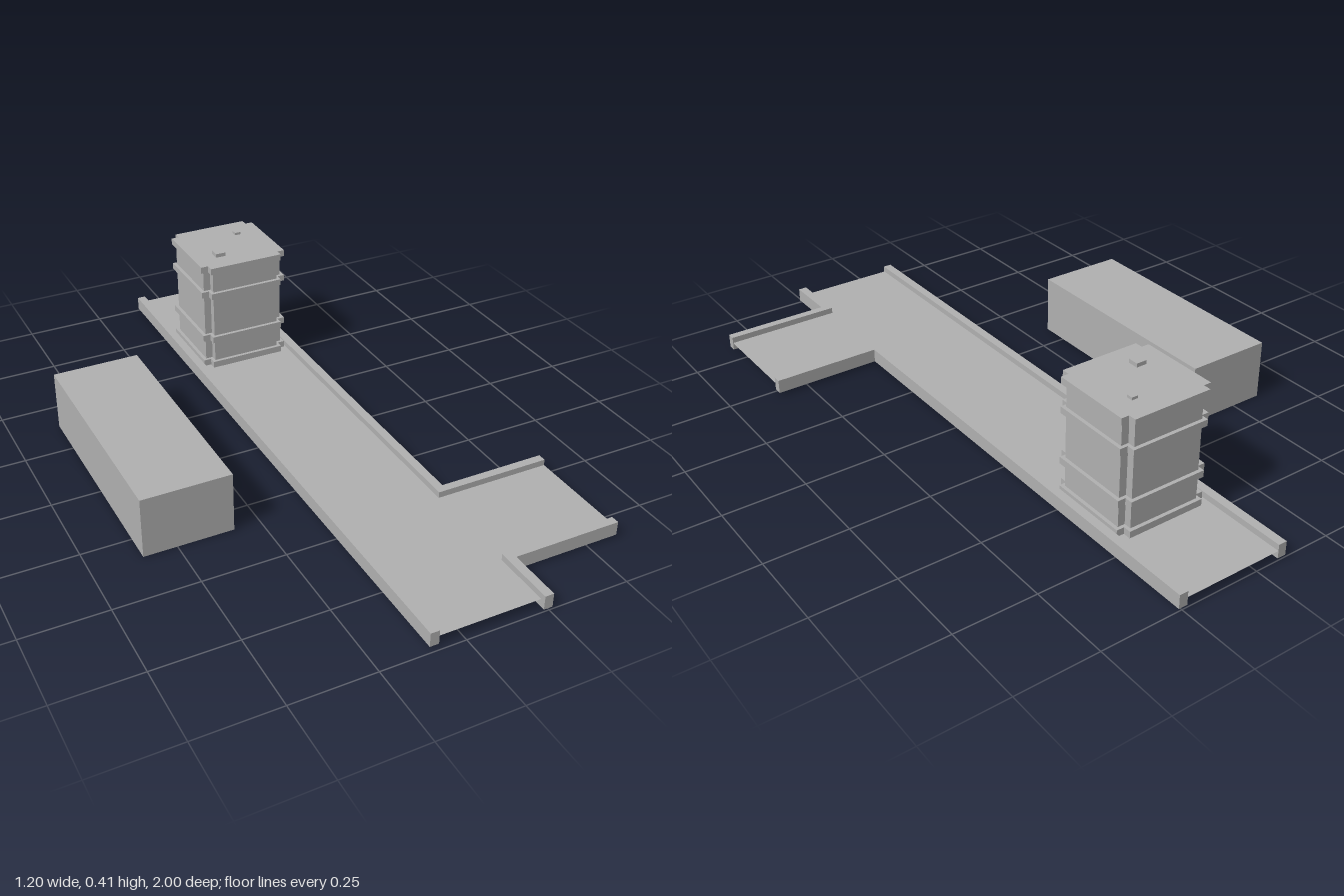
import * as THREE from 'three';

export function createModel() {
  const model = new THREE.Group();
  const grey = new THREE.MeshStandardMaterial({ color: 0xb0b0b0 });
  grey.name = 'grey';
  const sheetGrey = grey; // one colour throughout
  sheetGrey.side = THREE.DoubleSide;

  const add = (parent, name, geometry) => {
    const mesh = new THREE.Mesh(geometry, grey);
    mesh.name = name;
    parent.add(mesh);
    return mesh;
  };
  // Box given by its limits on each axis
  const box = (parent, name, [x0, x1], [y0, y1], [z0, z1]) =>
    add(parent, name, new THREE.BoxGeometry(x1 - x0, y1 - y0, z1 - z0))
      .position.set((x0 + x1) / 2, (y0 + y1) / 2, (z0 + z1) / 2);

  // Free-standing block
  box(model, 'block', [-0.6, -0.33], [0, 0.187], [-0.387, 0.336]);

  // Thin walkway floor with a side branch
  const walkway = new THREE.Group();
  walkway.name = 'walkway';
  model.add(walkway);
  const outline = [
    [-0.09, -1], [0.245, -1], [0.245, 0.485], [0.597, 0.485],
    [0.597, 0.82], [0.245, 0.82], [0.245, 0.985], [-0.09, 0.985],
  ].map(([x, z]) => new THREE.Vector2(x, -z));
  const floor = add(walkway, 'floor', new THREE.ShapeGeometry(new THREE.Shape(outline)));
  floor.rotation.x = -Math.PI / 2;
  floor.position.y = 0.031;

  // Kerbs along the walkway edges
  const kerbY = [0.007, 0.05];
  box(walkway, 'leftKerb', [-0.1, -0.073], kerbY, [-1, 0.987]);
  box(walkway, 'longKerb', [0.233, 0.26], kerbY, [-1, 0.499]);
  box(walkway, 'branchBackKerb', [0.26, 0.597], kerbY, [0.473, 0.499]);
  box(walkway, 'branchFrontKerb', [0.233, 0.597], kerbY, [0.809, 0.835]);
  box(walkway, 'shortKerb', [0.233, 0.26], kerbY, [0.835, 1]);

  // Drum with stepped corners
  const drum = new THREE.Group();
  drum.name = 'drum';
  drum.position.set(0.08, 0, -0.596);
  model.add(drum);

  const steppedPrism = (name, a, b, c, y0, y1) => {
    const corner = [[a, c], [b, c], [b, b], [c, b], [c, a]];
    const points = [];
    for (let q = 0; q < 4; q++) {
      const t = (q * Math.PI) / 2;
      // each quadrant runs counter-clockwise from its first side
      for (const [y, x] of corner) {
        points.push(new THREE.Vector2(
          x * Math.cos(t) - y * Math.sin(t),
          x * Math.sin(t) + y * Math.cos(t)));
      }
    }
    const geometry = new THREE.ExtrudeGeometry(new THREE.Shape(points),
      { depth: y1 - y0, bevelEnabled: false });
    geometry.rotateX(-Math.PI / 2);
    geometry.translate(0, y0, 0);
    add(drum, name, geometry);
  };

  steppedPrism('drumBody', 0.09, 0.113, 0.136, 0.034, 0.39);
  for (const [y0, y1] of [[0.033, 0.054], [0.125, 0.146], [0.284, 0.304], [0.373, 0.394]]) {
    steppedPrism('drumBand', 0.1, 0.123, 0.147, y0, y1);
  }

  // Caps on the drum lid
  box(drum, 'largeCap', [-0.074, -0.041], [0.39, 0.406], [0.045, 0.077]);
  box(drum, 'smallCap', [0.053, 0.073], [0.39, 0.402], [-0.073, -0.053]);

  return model;
}
